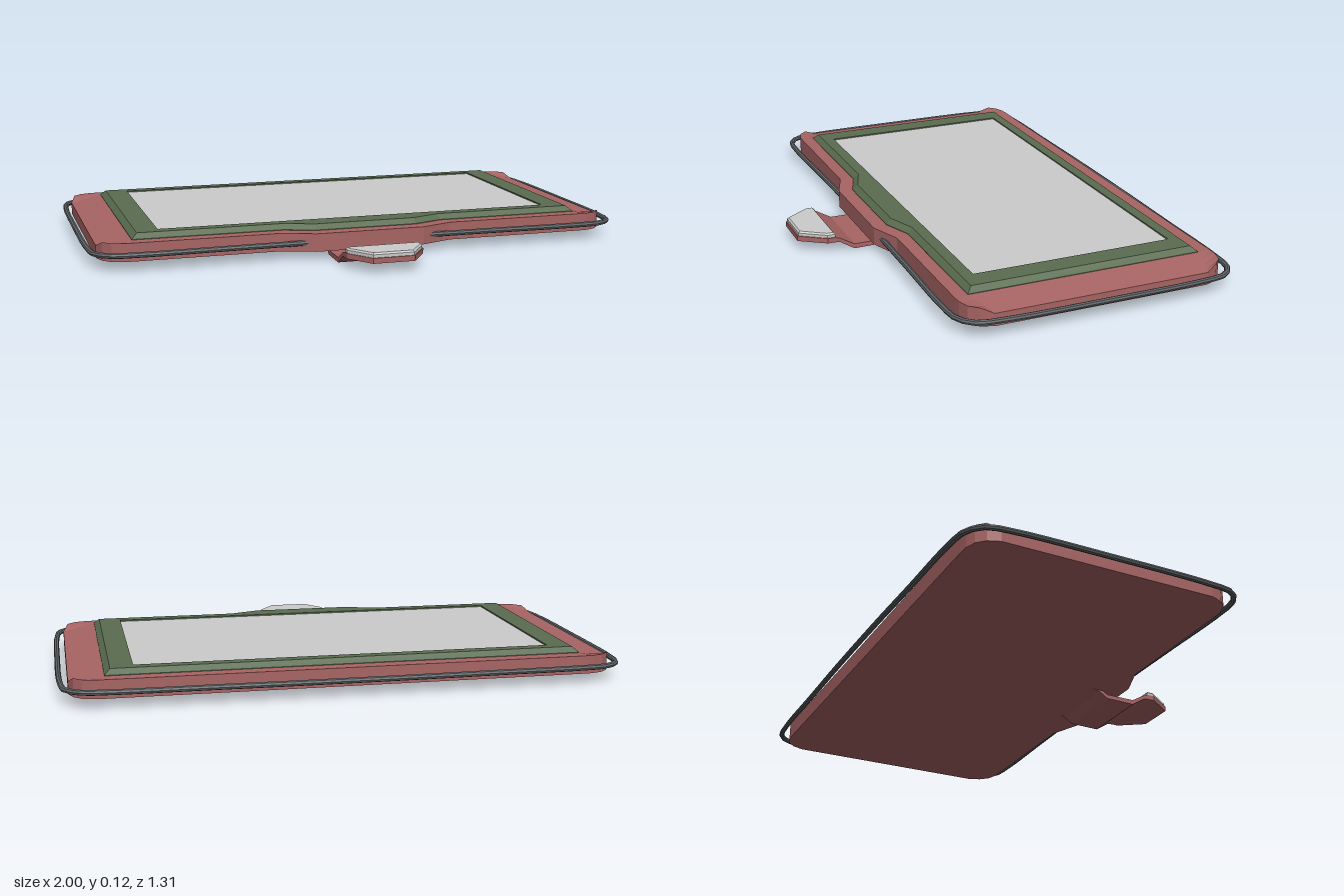
import * as THREE from 'three';

const mat = (color) => new THREE.MeshStandardMaterial({ color, flatShading: true, side: THREE.DoubleSide });
const red = mat(0xa86464);
const green = mat(0x5a6c50);
const grey = mat(0xcccccc);
const dark = mat(0x606466);

// Skin a row of equal-length point loops; convex ends may be capped.
function loft(sections, capped = true) {
  const tris = [];
  const n = sections[0].length;
  for (let i = 0; i < sections.length - 1; i++) {
    const a = sections[i], b = sections[i + 1];
    for (let j = 0; j < n; j++) {
      const k = (j + 1) % n;
      tris.push([a[j], a[k], b[k]], [a[j], b[k], b[j]]);
    }
  }
  if (capped) {
    const s = sections[0], e = sections[sections.length - 1];
    for (let j = 1; j < n - 1; j++) tris.push([s[0], s[j + 1], s[j]], [e[0], e[j], e[j + 1]]);
  }
  // Turn every face outwards if the skin came out inside out.
  const v = (p) => new THREE.Vector3(...p);
  const volume = tris.reduce((sum, [a, b, c]) => sum + v(a).dot(v(b).cross(v(c))), 0);
  if (volume < 0) tris.forEach((t) => t.reverse());
  const geometry = new THREE.BufferGeometry();
  geometry.setAttribute('position', new THREE.Float32BufferAttribute(tris.flat(2), 3));
  geometry.computeVertexNormals();
  return geometry;
}

// Complete a right-hand half outline [x, z] with its mirror image.
const mirrored = (half) => [...half, ...half.map(([x, z]) => [-x, z]).reverse()];

function part(group, name, geometry, material) {
  const mesh = new THREE.Mesh(geometry, material);
  mesh.name = name;
  group.add(mesh);
  return mesh;
}

// Case: sections across x, with the top dipping between the corners at each end.
function caseGeometry() {
  const half = [ // x, front z, back z
    [0.2, 0.405, -0.605], [0.32, 0.36, -0.605], [0.84, 0.36, -0.605], [0.875, 0.358, -0.603],
    [0.915, 0.345, -0.59], [0.943, 0.315, -0.563], [0.96, 0.27, -0.52],
  ];
  const stations = [...half.map(([x, f, b]) => [-x, f, b]).reverse(), ...half];
  return loft(stations.map(([x, front, back]) => {
    const t = Math.max(0, (Math.abs(x) - 0.84) / 0.12);
    const dip = 0.095 - 0.02 * t;
    const rim = t === 1 ? dip : 0.095;
    const inFront = Math.min(front, 0.31 - 0.04 * t);
    const inBack = Math.max(back, -0.555 + 0.035 * t);
    return [[x, 0.03, back], [x, rim, back], [x, dip, inBack],
      [x, dip, inFront], [x, rim, front], [x, 0.03, front]];
  }));
}

export function createModel() {
  const model = new THREE.Group();
  model.name = 'framedPanel';

  part(model, 'case', caseGeometry(), red);

  // Bezel: sloping rim and a flat top with a window
  const bezel = new THREE.Group();
  bezel.name = 'bezel';
  model.add(bezel);
  const lower = mirrored([[0.19, 0.353], [0.3, 0.312], [0.84, 0.312], [0.84, -0.555]]);
  const upper = mirrored([[0.185, 0.333], [0.295, 0.292], [0.82, 0.292], [0.82, -0.535]]);
  part(bezel, 'bezelRim', loft([
    lower.map(([x, z]) => [x, 0.09, z]),
    lower.map(([x, z]) => [x, 0.097, z]),
    upper.map(([x, z]) => [x, 0.115, z]),
  ], false), green);
  const face = new THREE.Shape(upper.map(([x, z]) => new THREE.Vector2(x, -z)));
  face.holes.push(new THREE.Path([[-0.74, -0.25], [-0.74, 0.495], [0.74, 0.495], [0.74, -0.25]]
    .map(([x, y]) => new THREE.Vector2(x, y))));
  const faceGeometry = new THREE.ExtrudeGeometry(face, { depth: 0.008, bevelEnabled: false });
  faceGeometry.rotateX(-Math.PI / 2).translate(0, 0.107, 0);
  part(bezel, 'bezelFace', faceGeometry, green);

  // Screen set just below the bezel face
  part(model, 'screen', new THREE.BoxGeometry(1.48, 0.012, 0.745), grey).position.set(0, 0.104, -0.1225);

  // Cord loop around the case
  const cordPoints = mirrored([
    [0.2, 0.384], [0.5, 0.388], [0.82, 0.393], [0.92, 0.383], [0.97, 0.34], [0.985, 0.24],
    [0.99, -0.12], [0.985, -0.49], [0.97, -0.58], [0.92, -0.624], [0.82, -0.637],
    [0.5, -0.641], [0.2, -0.645],
  ]).map(([x, z]) => new THREE.Vector3(x, 0.06, z));
  const cordPath = new THREE.CatmullRomCurve3(cordPoints, true);
  part(model, 'cord', new THREE.TubeGeometry(cordPath, 140, 0.01, 8, true), dark);

  // Bent tongue: sections along z
  const tongue = [ // z, half width, bottom, top
    [0.28, 0.14, 0.03, 0.045], [0.31, 0.14, 0.025, 0.042], [0.345, 0.14, 0.002, 0.018],
    [0.46, 0.14, 0, 0.018], [0.515, 0.14, 0.035, 0.05], [0.535, 0.14, 0.036, 0.055],
    [0.56, 0.14, 0.036, 0.055], [0.655, 0.075, 0.036, 0.055],
  ];
  part(model, 'tongue', loft(tongue.map(([z, w, low, high]) =>
    [[-w, low, z], [w, low, z], [w, high, z], [-w, high, z]])), red);

  // Pad on the tongue tip, with a bevelled top edge
  const padLoop = (y, inset) => mirrored([
    [0.136 - inset, 0.53 + inset], [0.136 - inset, 0.56], [0.074 - inset / 2, 0.65 - inset],
  ]).map(([x, z]) => [x, y, z]);
  part(model, 'pad', loft([padLoop(0.05, 0), padLoop(0.066, 0), padLoop(0.072, 0.006)]), grey);

  return model;
}
